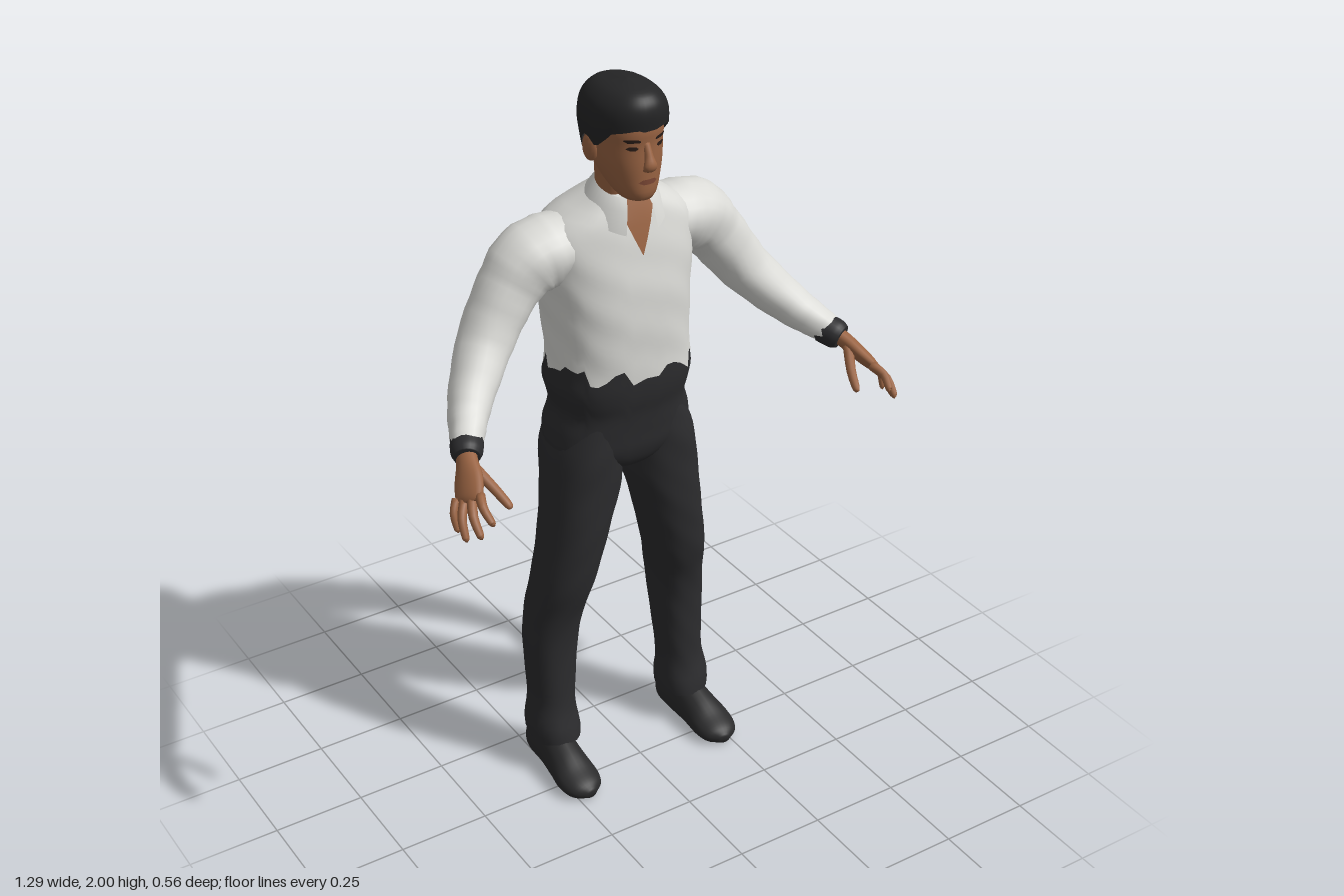
import * as THREE from 'three';

const mat = (name, color, side = THREE.FrontSide) => {
  const m = new THREE.MeshStandardMaterial({ color, side });
  m.name = name;
  return m;
};
const V = (x, y, z) => new THREE.Vector3(x, y, z);
const hash = (i) => { const s = Math.sin(i * 12.9898 + 4.1) * 43758.5453; return s - Math.floor(s); };
const pow = (v, e) => Math.sign(v) * Math.abs(v) ** e;

// Joins rows of points into a smooth surface
function grid(rows, closed = true) {
  const n = rows[0].length, index = [];
  for (let r = 0; r < rows.length - 1; r++) {
    for (let i = 0; i < (closed ? n : n - 1); i++) {
      const a = r * n + i, b = r * n + (i + 1) % n;
      index.push(a, b, a + n, b, b + n, a + n);
    }
  }
  const g = new THREE.BufferGeometry().setFromPoints(rows.flat());
  g.setIndex(index);
  g.computeVertexNormals();
  return g;
}

// Mirrors a geometry to the other side of the body
function mirrored(geo) {
  const g = geo.clone().scale(-1, 1, 1), ix = g.index.array;
  for (let i = 0; i < ix.length; i += 3) [ix[i], ix[i + 1]] = [ix[i + 1], ix[i]];
  g.computeVertexNormals();
  return g;
}

// Smooth interpolation through table rows, keyed by the first column
function lookup(rows, k) {
  const last = rows.length - 1;
  let i = 0;
  while (i < last - 1 && k > rows[i + 1][0]) i++;
  const a = rows[i], b = rows[i + 1], p = rows[Math.max(i - 1, 0)], q = rows[Math.min(i + 2, last)];
  const d = b[0] - a[0], t = THREE.MathUtils.clamp((k - a[0]) / d, 0, 1), t2 = t * t, t3 = t2 * t;
  return a.map((v, c) => {
    const m0 = (b[c] - p[c]) / (b[0] - p[0]) * d, m1 = (q[c] - v) / (q[0] - a[0]) * d;
    return (2 * t3 - 3 * t2 + 1) * v + (t3 - 2 * t2 + t) * m0 + (3 * t2 - 2 * t3) * b[c] + (t3 - t2) * m1;
  });
}

// Upright body from [y, centreX, halfWidth, frontZ, backZ]; lo and hi may vary round the ring
function body(rows, lo, hi, { p = 2.2, steps = 24, n = 48, fold = 0 } = {}) {
  const out = [];
  for (let r = 0; r <= steps; r++) {
    out.push(Array.from({ length: n }, (_, i) => {
      const th = i / n * Math.PI * 2;
      const y = THREE.MathUtils.lerp(lo(th, i), hi(th, i), r / steps);
      const [, cx, rx, zf, zb] = lookup(rows, y);
      const f = 1 + fold * Math.sin(th * 5 + y * 22) * Math.sin(y * 31 + th);
      return V(cx + Math.max(rx, 0) * f * pow(Math.sin(th), 2 / p), y,
        (zf + zb) / 2 + (zf - zb) / 2 * f * pow(Math.cos(th), 2 / p));
    }));
  }
  return grid(out);
}

// Thin patch lying on the front of an upright body; spans are [y, x0, x1]
function patch(rows, spans, lift, p = 2.2) {
  return grid(spans.map(([y, x0, x1]) => Array.from({ length: 7 }, (_, i) => {
    const x = THREE.MathUtils.lerp(x0, x1, i / 6), [, cx, rx, zf, zb] = lookup(rows, y);
    const k = (1 - Math.min(1, Math.abs((x - cx) / rx)) ** p) ** (1 / p);
    return V(x, y, (zf + zb) / 2 + (zf - zb) / 2 * k + lift);
  })), false);
}

// Limb along [x, y, z, radiusU, radiusV]; ref sets the U direction
function limb(pts, ref, { n = 16, per = 5, fold = 0, jag = 0 } = {}) {
  const keyed = pts.map((q, i) => [i, ...q]), steps = (pts.length - 1) * per, rows = [];
  const at = (k) => { const q = lookup(keyed, k); return { c: V(q[1], q[2], q[3]), a: q[4], b: q[5] }; };
  for (let s = 0; s <= steps; s++) {
    const k = s / per, { c, a, b } = at(k);
    const t = at(Math.min(k + 0.1, pts.length - 1)).c.sub(at(Math.max(k - 0.1, 0)).c).normalize();
    const u = ref.clone().addScaledVector(t, -ref.dot(t)).normalize(), v = t.clone().cross(u);
    rows.push(Array.from({ length: n }, (_, i) => {
      const th = i / n * Math.PI * 2, f = 1 + fold * Math.sin(k * 6 + th * 2) * Math.sin(th * 3 - k * 4);
      return c.clone().addScaledVector(u, Math.cos(th) * a * f).addScaledVector(v, Math.sin(th) * b * f)
        .addScaledVector(t, s === 0 ? -jag * hash(i) : 0);
    }));
    if (s === 0 && !jag) rows.unshift(rows[0].map(() => c.clone()));
    if (s === steps) rows.push(rows[0].map(() => c.clone()));
  }
  return grid(rows);
}

export function createModel() {
  const model = new THREE.Group();
  const shirt = mat('white shirt', 0xdadad6, THREE.DoubleSide), cloth = mat('dark cloth', 0x2c2c2e, THREE.DoubleSide);
  const skin = mat('skin', 0x9a6443), hair = mat('hair', 0x252526, THREE.DoubleSide);
  const shoe = mat('shoe leather', 0x2a2a2b), lip = mat('lips', 0x7c4835), eye = mat('eyes and brows', 0x2a1d18);
  const add = (name, geo, m) => {
    const mesh = new THREE.Mesh(geo, m);
    mesh.name = name;
    model.add(mesh);
  };
  const pair = (name, geo, m) => { add(name + 'Left', geo, m); add(name + 'Right', mirrored(geo), m); };

  // Torso: shirt above and trousers below a ragged waistline
  const torso = [
    [0.92, 0, 0.01, -0.07, -0.15], [0.95, 0, 0.09, -0.02, -0.2], [1.0, 0, 0.19, 0.005, -0.235],
    [1.06, 0, 0.198, 0.012, -0.255], [1.12, 0, 0.18, 0.018, -0.25], [1.16, 0, 0.188, 0.026, -0.25],
    [1.2, 0, 0.196, 0.03, -0.258], [1.25, 0, 0.188, 0.03, -0.25], [1.35, 0, 0.19, 0.03, -0.265],
    [1.45, 0, 0.2, 0.025, -0.28], [1.55, 0, 0.212, 0.01, -0.273], [1.61, 0, 0.205, -0.002, -0.255],
    [1.65, 0, 0.175, -0.012, -0.235], [1.685, 0, 0.115, -0.022, -0.205], [1.715, 0, 0.072, -0.035, -0.17]];
  const ragged = (th, i) => 1.205 + 0.055 * hash(i) - 0.018 * Math.sin(th);
  add('trouserHips', body(torso, () => 0.92, ragged, { p: 2.5 }), cloth);
  add('shirtTorso', body(torso, ragged, () => 1.715, { p: 2.5, fold: 0.012 }), shirt);
  add('openNeck', patch(torso, [[1.565, -0.001, 0.001], [1.6, -0.016, 0.016], [1.64, -0.032, 0.032],
    [1.675, -0.045, 0.045], [1.705, -0.05, 0.05]], 0.007, 2.5), skin);

  // Collar folded around the neck, open at the front
  const collar = [[0.112, -0.03, 0], [0.09, 0.012, 0.01], [0.07, 0.04, 0.012]].map(([r, dy, dz]) =>
    Array.from({ length: 33 }, (_, i) => {
      const th = 0.42 + i / 32 * (Math.PI * 2 - 0.84), front = (1 + Math.cos(th)) / 2;
      return V(r * Math.sin(th), 1.712 + dy - 0.042 * front - (dy < 0 ? 0.022 * front ** 6 : 0),
        -0.09 + dz + r * 0.98 * Math.cos(th));
    }));
  add('collar', grid(collar, false), shirt);

  // Trouser legs
  const leg = [
    [0.09, 0.21, 0.067, -0.035, -0.2], [0.13, 0.213, 0.073, -0.04, -0.203], [0.17, 0.214, 0.068, -0.052, -0.198],
    [0.22, 0.21, 0.062, -0.06, -0.2], [0.4, 0.203, 0.073, -0.063, -0.215], [0.5, 0.193, 0.077, -0.05, -0.217],
    [0.6, 0.177, 0.083, -0.022, -0.203], [0.7, 0.157, 0.088, -0.008, -0.2], [0.8, 0.138, 0.094, 0, -0.203],
    [0.9, 0.119, 0.104, 0.002, -0.212], [1.0, 0.11, 0.098, 0.006, -0.24], [1.1, 0.09, 0.08, 0, -0.235]];
  pair('trouserLeg', body(leg, (th, i) => 0.09 + 0.015 * hash(i), () => 1.1, { n: 32, steps: 40, fold: 0.012 }), cloth);

  // Shoes, flattened underneath
  const shoeGeo = limb([
    [0.215, 0.045, -0.2, 0.035, 0.045], [0.216, 0.05, -0.17, 0.052, 0.06], [0.218, 0.05, -0.1, 0.05, 0.07],
    [0.222, 0.04, -0.03, 0.054, 0.058], [0.224, 0.03, 0.03, 0.06, 0.04], [0.222, 0.024, 0.075, 0.048, 0.028],
    [0.22, 0.02, 0.1, 0.015, 0.012]], V(1, 0, 0), { n: 24 });
  const sp = shoeGeo.attributes.position;
  for (let i = 0; i < sp.count; i++) sp.setY(i, Math.max(0, sp.getY(i)));
  shoeGeo.computeVertexNormals();
  pair('shoe', shoeGeo, shoe);

  // Sleeves and ragged dark cuffs
  pair('sleeve', limb([
    [0.09, 1.585, -0.13, 0.07, 0.085], [0.17, 1.575, -0.13, 0.088, 0.098], [0.245, 1.555, -0.13, 0.092, 0.095],
    [0.305, 1.495, -0.125, 0.08, 0.08], [0.385, 1.385, -0.1, 0.069, 0.072], [0.475, 1.285, -0.02, 0.055, 0.056],
    [0.525, 1.24, 0.05, 0.043, 0.043], [0.548, 1.222, 0.088, 0.036, 0.036]], V(0, 1, 0),
  { n: 24, fold: 0.035 }), shirt);
  pair('cuff', limb([[0.54, 1.226, 0.075, 0.04, 0.041], [0.55, 1.22, 0.092, 0.039, 0.039],
    [0.557, 1.215, 0.105, 0.032, 0.032]], V(0, 1, 0), { n: 24, jag: 0.028 }), cloth);

  // Hands: palm, four fingers and thumb
  const across = V(-0.45, 0.45, 0.77);
  pair('palm', limb([[0.548, 1.222, 0.085, 0.026, 0.022], [0.562, 1.208, 0.115, 0.03, 0.021],
    [0.578, 1.185, 0.15, 0.041, 0.02], [0.595, 1.163, 0.183, 0.041, 0.016], [0.602, 1.152, 0.195, 0.028, 0.01]], across), skin);
  const fingers = [
    [[0.618, 1.148, 0.158], [0.636, 1.08, 0.192], 0.0095], [[0.606, 1.15, 0.177], [0.637, 1.078, 0.235], 0.011],
    [[0.594, 1.159, 0.193], [0.615, 1.097, 0.27], 0.0115], [[0.58, 1.172, 0.207], [0.587, 1.13, 0.28], 0.011],
    [[0.556, 1.205, 0.135], [0.512, 1.128, 0.236], 0.0125]];
  fingers.forEach(([a, b, r], i) => {
    const mid = a.map((v, c) => (v + b[c]) / 2 + [0.008, 0.008, 0][c] * (i < 4 ? 1 : -0.5));
    const tip = a.map((v, c) => v + (b[c] - v) * 0.92);
    pair(i < 4 ? 'finger' + (i + 1) : 'thumb', limb([[...a, r * 1.15, r * 1.15], [...mid, r, r],
      [...tip, r * 0.8, r * 0.8], [...b, r * 0.3, r * 0.3]], across, { n: 10, per: 3 }), skin);
  });

  // Neck and head
  const neck = [[1.6, 0, 0.07, -0.035, -0.16], [1.68, 0, 0.06, -0.035, -0.155], [1.76, 0, 0.058, -0.035, -0.158],
    [1.84, 0, 0.06, -0.04, -0.17]];
  add('neck', body(neck, () => 1.6, () => 1.84, { steps: 10, n: 32 }), skin);
  const head = [
    [1.705, 0, 0.005, 0.0, -0.04], [1.715, 0, 0.036, 0.024, -0.07], [1.735, 0, 0.052, 0.033, -0.1],
    [1.77, 0, 0.068, 0.034, -0.14], [1.81, 0, 0.08, 0.034, -0.17], [1.86, 0, 0.086, 0.032, -0.185],
    [1.9, 0, 0.088, 0.034, -0.19], [1.95, 0, 0.074, 0.015, -0.17], [1.985, 0, 0.02, -0.04, -0.1]];
  add('head', body(head, () => 1.705, () => 1.985), skin);

  // Face details
  add('nose', limb([[0, 1.865, 0.026, 0.009, 0.008], [0, 1.835, 0.038, 0.011, 0.01], [0, 1.81, 0.045, 0.018, 0.012],
    [0, 1.798, 0.034, 0.014, 0.006]], V(1, 0, 0), { n: 12 }), skin);
  add('lips', patch(head, [[1.762, -0.014, 0.014], [1.768, -0.026, 0.026], [1.775, -0.016, 0.016]], 0.004), lip);
  pair('eye', patch(head, [[1.852, 0.032, 0.044], [1.857, 0.025, 0.053], [1.862, 0.031, 0.047]], 0.004), eye);
  pair('eyebrow', patch(head, [[1.872, 0.02, 0.05], [1.878, 0.022, 0.058], [1.881, 0.034, 0.056]], 0.004), eye);
  pair('ear', new THREE.SphereGeometry(1, 14, 10).scale(0.012, 0.036, 0.024).rotateY(-0.3).translate(0.088, 1.835, -0.085), skin);

  // Hair: fringe at the front, sideburns, lower at the nape
  const hairRows = [
    [1.755, 0, 0.066, 0.02, -0.168], [1.8, 0, 0.084, 0.03, -0.19], [1.85, 0, 0.094, 0.04, -0.2],
    [1.9, 0, 0.1, 0.046, -0.203], [1.945, 0, 0.092, 0.049, -0.198], [1.975, 0, 0.071, 0.036, -0.175],
    [1.992, 0, 0.042, 0.005, -0.135], [2.0, 0, 0.0, -0.06, -0.061]];
  const hairline = [[0, 1.9], [0.8, 1.897], [1.15, 1.865], [1.4, 1.845], [1.65, 1.868], [1.95, 1.83], [2.2, 1.785], [3.15, 1.768]];
  add('hair', body(hairRows, (th, i) => lookup(hairline, Math.min(th, Math.PI * 2 - th))[1] + 0.006 * hash(i), () => 2.0), hair);

  return model;
}
